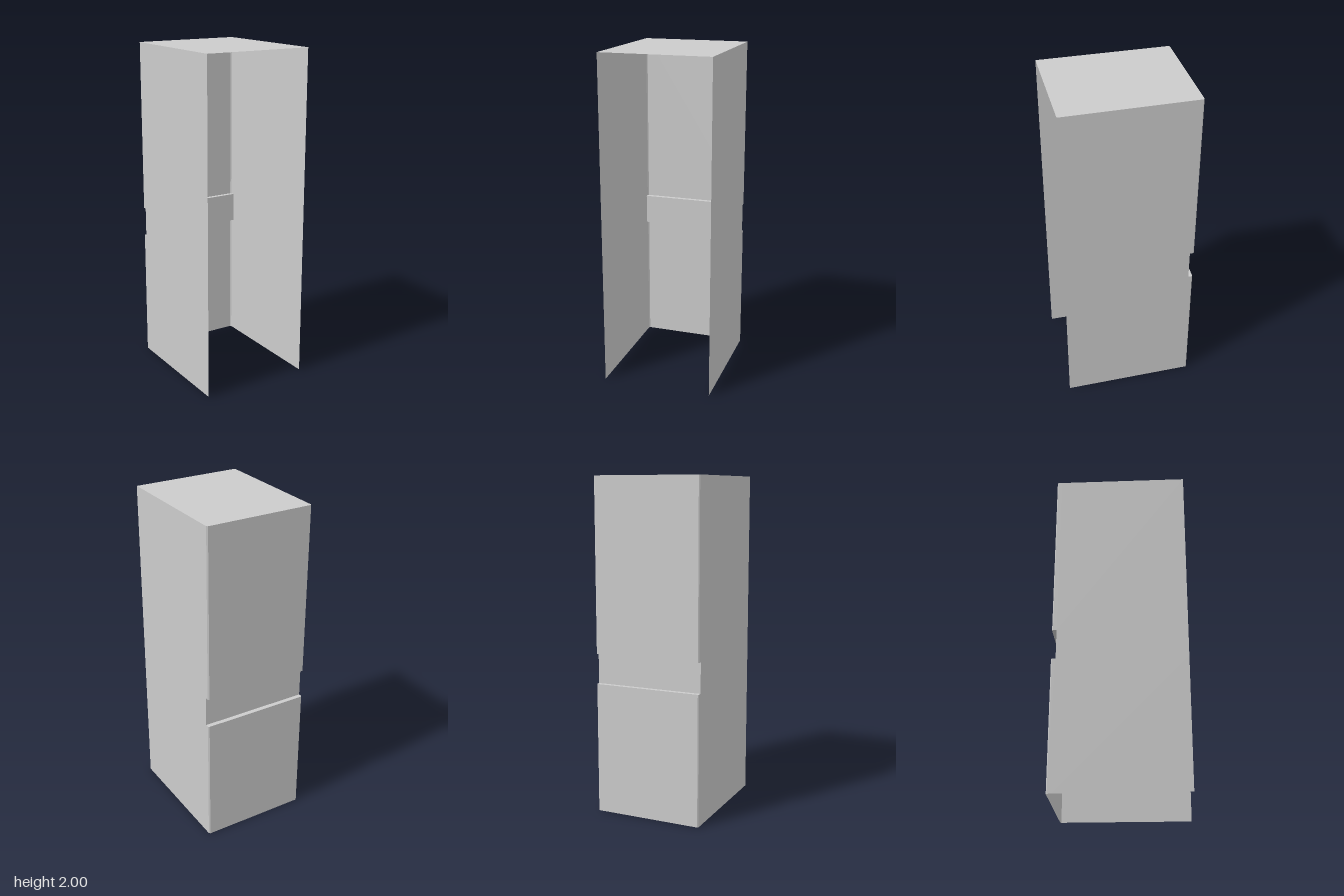
import * as THREE from 'three';

const material = new THREE.MeshStandardMaterial({ color: 0xcccccc, flatShading: true, side: THREE.DoubleSide });

// Plan outlines as [x, z], running from the open front around the back
const frontLeft = [0.332, 0.394];
const frontRight = [-0.332, 0.394];
const notchZ = -0.367;
const notchLeft = [0.325, notchZ];
const notchRight = [-0.332, notchZ];
const backEdge = [[0.325, -0.388], [0.317, -0.394], [-0.326, -0.394], [-0.332, -0.388]];

const fullOutline = [frontLeft, notchLeft, ...backEdge, notchRight, frontRight];
const grooveOutline = [frontLeft, notchLeft, notchRight, frontRight];
const ledgeOutline = [notchLeft, ...backEdge, notchRight];

// Height of the groove across the back
const grooveBottom = 0.787, grooveTop = 0.968, height = 2;

// Thin upright shell that follows an outline, one flat panel per segment
function shell(name, outline, y0, y1) {
  const positions = [];
  for (let i = 0; i < outline.length - 1; i++) {
    const [ax, az] = outline[i], [bx, bz] = outline[i + 1];
    positions.push(ax, y0, az, bx, y1, bz, bx, y0, bz);
    positions.push(ax, y0, az, ax, y1, az, bx, y1, bz);
  }
  const geometry = new THREE.BufferGeometry();
  geometry.setAttribute('position', new THREE.Float32BufferAttribute(positions, 3));
  geometry.computeVertexNormals();
  return named(name, geometry);
}

// Flat horizontal sheet that fills an outline
function sheet(name, outline, y) {
  const shape = new THREE.Shape(outline.map(([x, z]) => new THREE.Vector2(x, -z)));
  const geometry = new THREE.ShapeGeometry(shape).rotateX(-Math.PI / 2).translate(0, y, 0);
  return named(name, geometry);
}

function named(name, geometry) {
  const mesh = new THREE.Mesh(geometry, material);
  mesh.name = name;
  return mesh;
}

export function createModel() {
  const model = new THREE.Group();
  model.name = 'openCabinet';
  model.add(
    // Walls: open at the front and underneath
    shell('lowerWalls', fullOutline, 0, grooveBottom),
    shell('grooveWalls', grooveOutline, grooveBottom, grooveTop),
    shell('upperWalls', fullOutline, grooveTop, height),
    // Ledges that close the groove
    sheet('lowerLedge', ledgeOutline, grooveBottom),
    sheet('upperLedge', ledgeOutline, grooveTop),
    sheet('topPanel', fullOutline, height)
  );
  return model;
}
